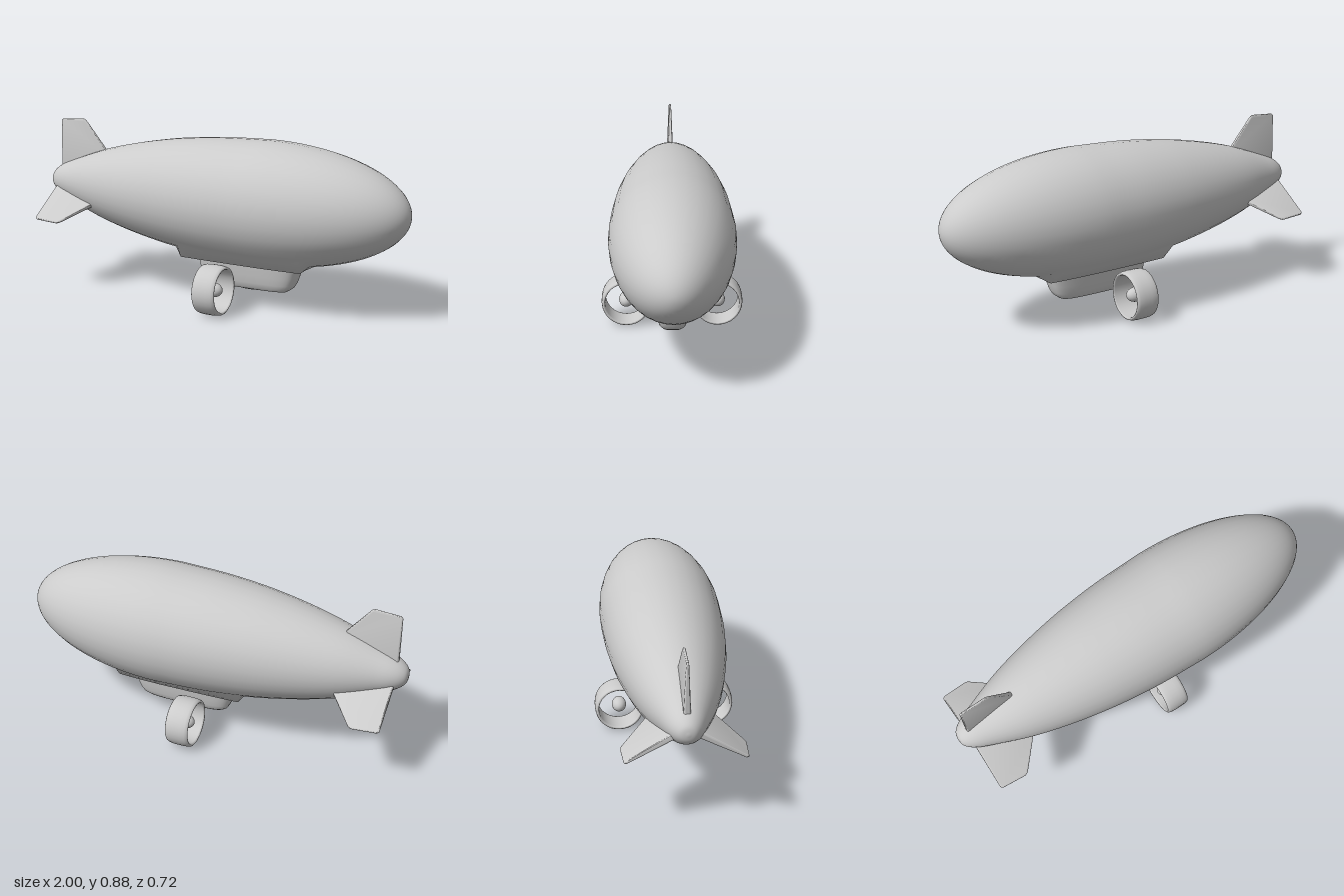
import * as THREE from 'three';
import { mergeVertices, toCreasedNormals } from 'three/addons/utils/BufferGeometryUtils.js';

const material = new THREE.MeshStandardMaterial({ color: 0xcccccc });
const AXIS_Y = 0.545;

function addMesh(parent, name, geometry) {
  const mesh = new THREE.Mesh(geometry, material);
  mesh.name = name;
  parent.add(mesh);
  return mesh;
}

// Envelope: revolved about x, with a shallow flat shelf above the cabin
function envelopeGeometry() {
  const tail = [[-1, 0], [-0.992, 0.035], [-0.97, 0.06], [-0.93, 0.085], [-0.85, 0.118], [-0.69, 0.178],
    [-0.5, 0.229], [-0.3, 0.268], [-0.17, 0.286], [0, 0.302], [0.25, 0.312]];
  const curve = new THREE.CatmullRomCurve3(tail.map(([x, r]) => new THREE.Vector3(r, x, 0)));
  const points = curve.getPoints(40).map(p => new THREE.Vector2(Math.max(p.x, 0), p.y));
  for (let i = 1; i <= 24; i++) {
    const a = i / 24 * Math.PI / 2;
    points.push(new THREE.Vector2(0.312 * Math.cos(a), 0.25 + 0.75 * Math.sin(a)));
  }
  let geometry = new THREE.LatheGeometry(points, 32).rotateZ(-Math.PI / 2);
  const p = geometry.attributes.position;
  for (let i = 0; i < p.count; i++) {
    const x = p.getX(i), y = p.getY(i), z = p.getZ(i);
    if (x > -0.19 && x < 0.53 && y < -0.2 && Math.abs(z) < 0.13) {
      p.setY(i, Math.min(y, -0.307));
      p.setZ(i, z * 1.1);
    }
  }
  geometry.deleteAttribute('normal');
  geometry.deleteAttribute('uv');
  geometry = mergeVertices(geometry, 1e-5);
  geometry.computeVertexNormals();
  return geometry;
}

// Cabin: superellipse sections stacked upwards, each [y, xBack, xFront, halfWidth]
function cabinGeometry() {
  const levels = [[0.1, 0.16, 0.16, 0], [0.1, -0.045, 0.365, 0.05], [0.103, -0.062, 0.383, 0.063],
    [0.115, -0.078, 0.4, 0.073], [0.14, -0.089, 0.415, 0.081], [0.18, -0.098, 0.428, 0.088],
    [0.22, -0.106, 0.439, 0.093], [0.245, -0.112, 0.446, 0.097], [0.3, -0.112, 0.446, 0.097]];
  const n = 48, positions = [], index = [];
  const soft = v => Math.sign(v) * Math.sqrt(Math.abs(v));
  levels.forEach(([y, x0, x1, hz], i) => {
    for (let j = 0; j < n; j++) {
      const a = j / n * Math.PI * 2;
      positions.push((x0 + x1) / 2 + soft(Math.cos(a)) * (x1 - x0) / 2, y, soft(Math.sin(a)) * hz);
      if (i === levels.length - 1) continue;
      const k = i * n + j, next = i * n + (j + 1) % n;
      index.push(k, k + n, next, next, k + n, next + n);
    }
  });
  const geometry = new THREE.BufferGeometry();
  geometry.setAttribute('position', new THREE.Float32BufferAttribute(positions, 3));
  geometry.setIndex(index);
  geometry.computeVertexNormals();
  return geometry;
}

// Tail fin: bevelled plate that thins towards the tip
function finGeometry() {
  const outline = [[-0.945, 0.03], [-0.66, 0.03], [-0.66, 0.16], [-0.785, 0.315], [-0.796, 0.327],
    [-0.81, 0.333], [-0.935, 0.324], [-0.945, 0.314]];
  const shape = new THREE.Shape(outline.map(([x, y]) => new THREE.Vector2(x, y)));
  const geometry = new THREE.ExtrudeGeometry(shape, {
    depth: 0.008, bevelThickness: 0.006, bevelSize: 0.009, bevelOffset: -0.009, bevelSegments: 3,
  }).translate(0, 0, -0.004);
  const p = geometry.attributes.position;
  for (let i = 0; i < p.count; i++) {
    p.setZ(i, p.getZ(i) * THREE.MathUtils.mapLinear(p.getY(i), 0.1, 0.333, 1.6, 0.6));
  }
  return toCreasedNormals(geometry, 0.7);
}

// Fan duct: closed rounded ring section revolved about x
function ductGeometry() {
  const section = [[0.107, -0.054], [0.109, -0.06], [0.114, -0.062], [0.12, -0.058], [0.124, -0.045],
    [0.126, -0.02], [0.126, 0.02], [0.124, 0.045], [0.12, 0.058], [0.114, 0.062], [0.109, 0.06],
    [0.107, 0.054], [0.107, -0.054]];
  return new THREE.LatheGeometry(section.map(([r, x]) => new THREE.Vector2(r, x)), 32)
    .rotateZ(-Math.PI / 2);
}

export function createModel() {
  const airship = new THREE.Group();
  airship.name = 'airship';
  airship.rotation.y = -0.016; // slight yaw of the whole craft

  addMesh(airship, 'envelope', envelopeGeometry()).position.y = AXIS_Y;
  addMesh(airship, 'cabin', cabinGeometry());

  // Three tail fins at 120 degrees
  const fin = finGeometry();
  ['topFin', 'leftFin', 'rightFin'].forEach((name, i) => {
    const mesh = addMesh(airship, name, fin);
    mesh.position.y = AXIS_Y;
    mesh.rotation.x = i * Math.PI * 2 / 3;
  });

  // Ducted engine on each side of the cabin
  const duct = ductGeometry();
  const hub = new THREE.SphereGeometry(0.037, 24, 16).scale(1.35, 1, 1);
  for (const side of [1, -1]) {
    const engine = new THREE.Group();
    engine.name = side > 0 ? 'frontSideEngine' : 'backSideEngine';
    engine.position.set(0.072, 0.129, side * 0.233);
    addMesh(engine, 'duct', duct);
    addMesh(engine, 'hub', hub);
    airship.add(engine);
  }

  const model = new THREE.Group();
  model.add(airship);
  return model;
}
